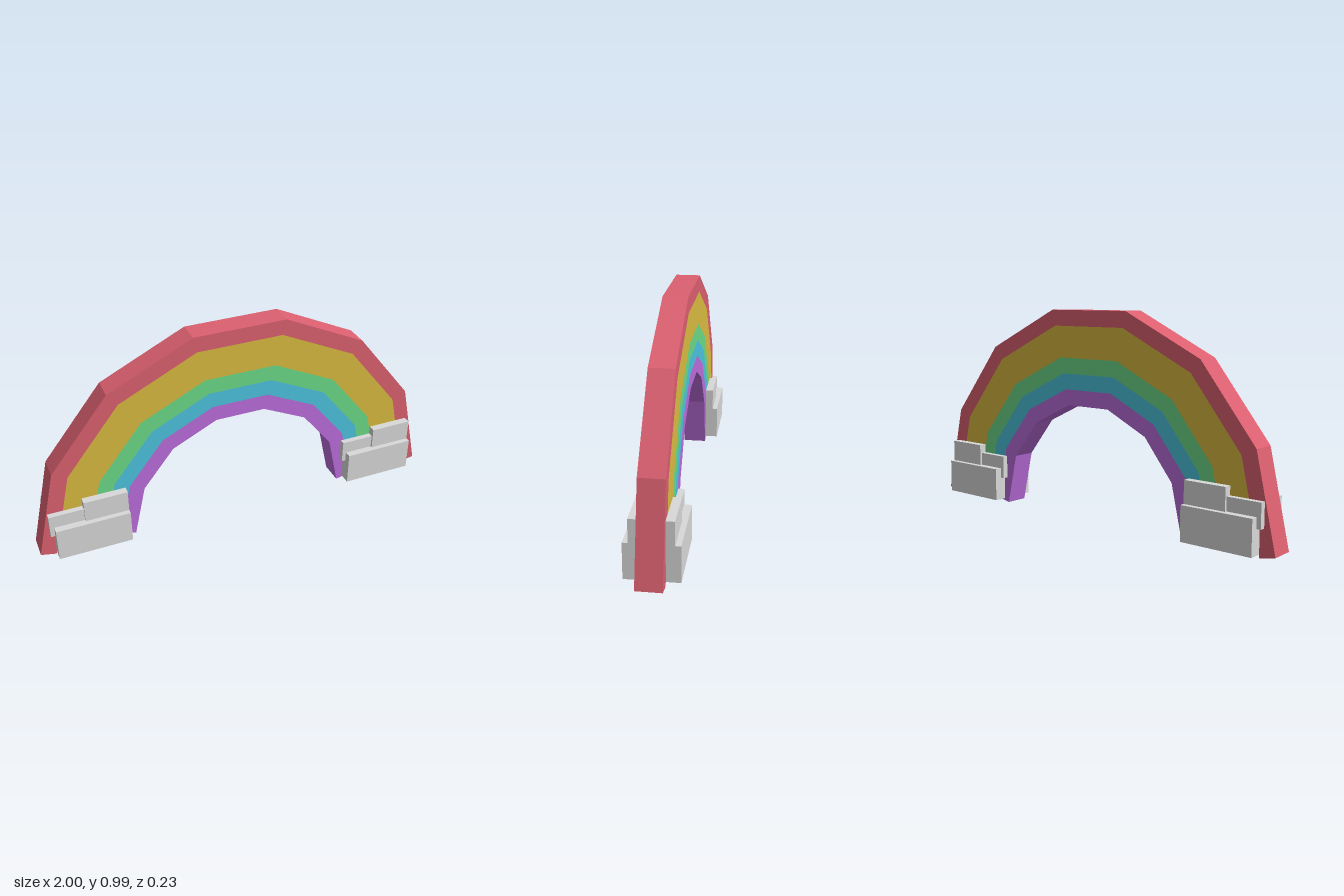
import * as THREE from 'three';

const mat = (name, color) => {
  const m = new THREE.MeshStandardMaterial({ color });
  m.name = name;
  return m;
};

const BASE = 0.02;            // height of the arch centre
const SEGMENTS = 7;
const STEP = 0.077;           // radial width of one band
const DEPTH = 0.112;

// Flat-sided half ring whose feet are cut square to the end segments
function bandGeometry(outer, inner) {
  const points = [];
  for (let i = 0; i <= SEGMENTS; i++) {
    const a = (Math.PI * i) / SEGMENTS;
    points.push(new THREE.Vector2(outer * Math.cos(a), BASE + outer * Math.sin(a)));
  }
  const tilt = Math.PI / (2 * SEGMENTS);
  const width = (outer - inner) * Math.cos(tilt);
  const footX = outer - width * Math.cos(tilt);
  const footY = BASE - width * Math.sin(tilt);
  points.push(new THREE.Vector2(-footX, footY));
  for (let i = SEGMENTS - 1; i > 0; i--) {
    const a = (Math.PI * i) / SEGMENTS;
    points.push(new THREE.Vector2(inner * Math.cos(a), BASE + inner * Math.sin(a)));
  }
  points.push(new THREE.Vector2(footX, footY));
  const g = new THREE.ExtrudeGeometry(new THREE.Shape(points), { depth: DEPTH, bevelEnabled: false });
  return g.translate(0, 0, -DEPTH / 2);
}

export function createModel() {
  const model = new THREE.Group();
  model.name = 'rainbow';
  const red = mat('red', 0xdc6070);
  const gold = mat('gold', 0xdabb40);
  const green = mat('green', 0x6cda88);
  const blue = mat('sky blue', 0x4cc4de);
  const purple = mat('purple', 0xbb6ddc);
  const grey = mat('cloud grey', 0xd9d9d9);

  // Arch bands, outermost first
  [red, gold, gold, green, blue, purple].forEach((m, i) => {
    const band = new THREE.Mesh(bandGeometry(1 - i * STEP, 1 - (i + 1) * STEP), m);
    band.name = `${m.name} band ${i + 1}`;
    model.add(band);
  });

  // Stepped clouds on both faces of each foot: [name, x0, x1, y0, y1, outer z]
  const blocks = [
    ['cloudBase', -0.925, -0.575, 0.02, 0.182, 0.117],
    ['cloudTallPuff', -0.782, -0.575, 0.08, 0.287, 0.093],
    ['cloudLowPuff', -0.945, -0.782, 0.133, 0.245, 0.083],
  ];
  const z0 = DEPTH / 2;
  for (const shift of [0, 1.495]) {
    for (const side of [1, -1]) {
      const cloud = new THREE.Group();
      cloud.name = `${side > 0 ? 'front' : 'back'}${shift ? 'Left' : 'Right'}Cloud`;
      for (const [name, x0, x1, y0, y1, z1] of blocks) {
        const block = new THREE.Mesh(new THREE.BoxGeometry(x1 - x0, y1 - y0, z1 - z0), grey);
        block.position.set((x0 + x1) / 2 + shift, (y0 + y1) / 2, (side * (z0 + z1)) / 2);
        block.name = name;
        cloud.add(block);
      }
      model.add(cloud);
    }
  }
  return model;
}
